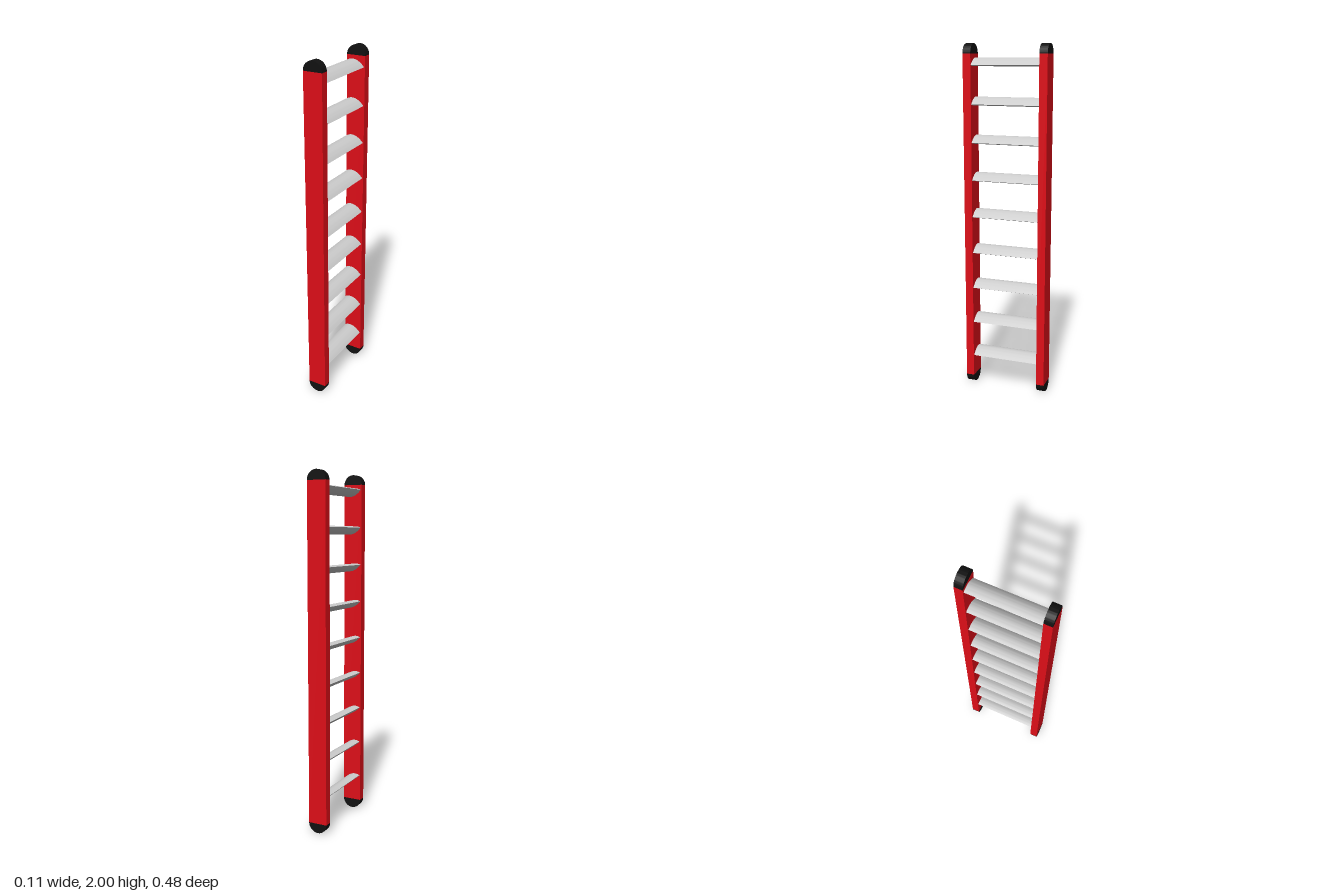
import * as THREE from 'three';
import { toCreasedNormals } from 'three/addons/utils/BufferGeometryUtils.js';

const RAIL_R = 0.055;      // half width of a rail, and radius of its end caps
const RAIL_T = 0.046;      // rail thickness
const RAIL_Z = 0.219;      // rail centre distance from the middle
const HEIGHT = 2;

const red = new THREE.MeshStandardMaterial({ color: 0xdf0e18 });
const black = new THREE.MeshStandardMaterial({ color: 0x111111 });
const grey = new THREE.MeshStandardMaterial({ color: 0xcccccc });

// Extrudes a shape along z, centred, with smooth curves and sharp edges
function extrudeCentred(shape, depth, curveSegments) {
  const geometry = new THREE.ExtrudeGeometry(shape, { depth, bevelEnabled: false, curveSegments });
  geometry.translate(0, 0, -depth / 2);
  return toCreasedNormals(geometry, 0.6);
}

function addMesh(parent, name, geometry, material, y) {
  const mesh = new THREE.Mesh(geometry, material);
  mesh.name = name;
  mesh.position.y = y;
  parent.add(mesh);
  return mesh;
}

export function createModel() {
  const ladder = new THREE.Group();
  ladder.name = 'ladder';

  // Side rails with half-round end caps
  const bar = new THREE.BoxGeometry(RAIL_R * 2, HEIGHT - RAIL_R * 2, RAIL_T);
  const halfDisc = new THREE.Shape().absarc(0, 0, RAIL_R, 0, Math.PI, false);
  const cap = extrudeCentred(halfDisc, RAIL_T, 24);
  for (const side of [1, -1]) {
    const rail = new THREE.Group();
    rail.name = side > 0 ? 'frontRail' : 'backRail';
    rail.position.z = side * RAIL_Z;
    addMesh(rail, 'railBar', bar, red, HEIGHT / 2);
    addMesh(rail, 'topCap', cap, black, HEIGHT - RAIL_R);
    addMesh(rail, 'bottomCap', cap, black, RAIL_R).rotation.z = Math.PI;
    ladder.add(rail);
  }

  // Lens-shaped rungs, tilted down towards +x
  const lens = new THREE.Shape();
  lens.moveTo(-0.05, 0.016);
  lens.quadraticCurveTo(0, -0.04, 0.05, -0.016);
  lens.quadraticCurveTo(0, 0.04, -0.05, 0.016);
  const rung = extrudeCentred(lens, RAIL_Z * 2 - RAIL_T + 0.004, 14);
  for (let i = 0; i < 9; i++) {
    addMesh(ladder, `rung${i + 1}`, rung, grey, 0.197 + i * 0.213);
  }

  return ladder;
}
